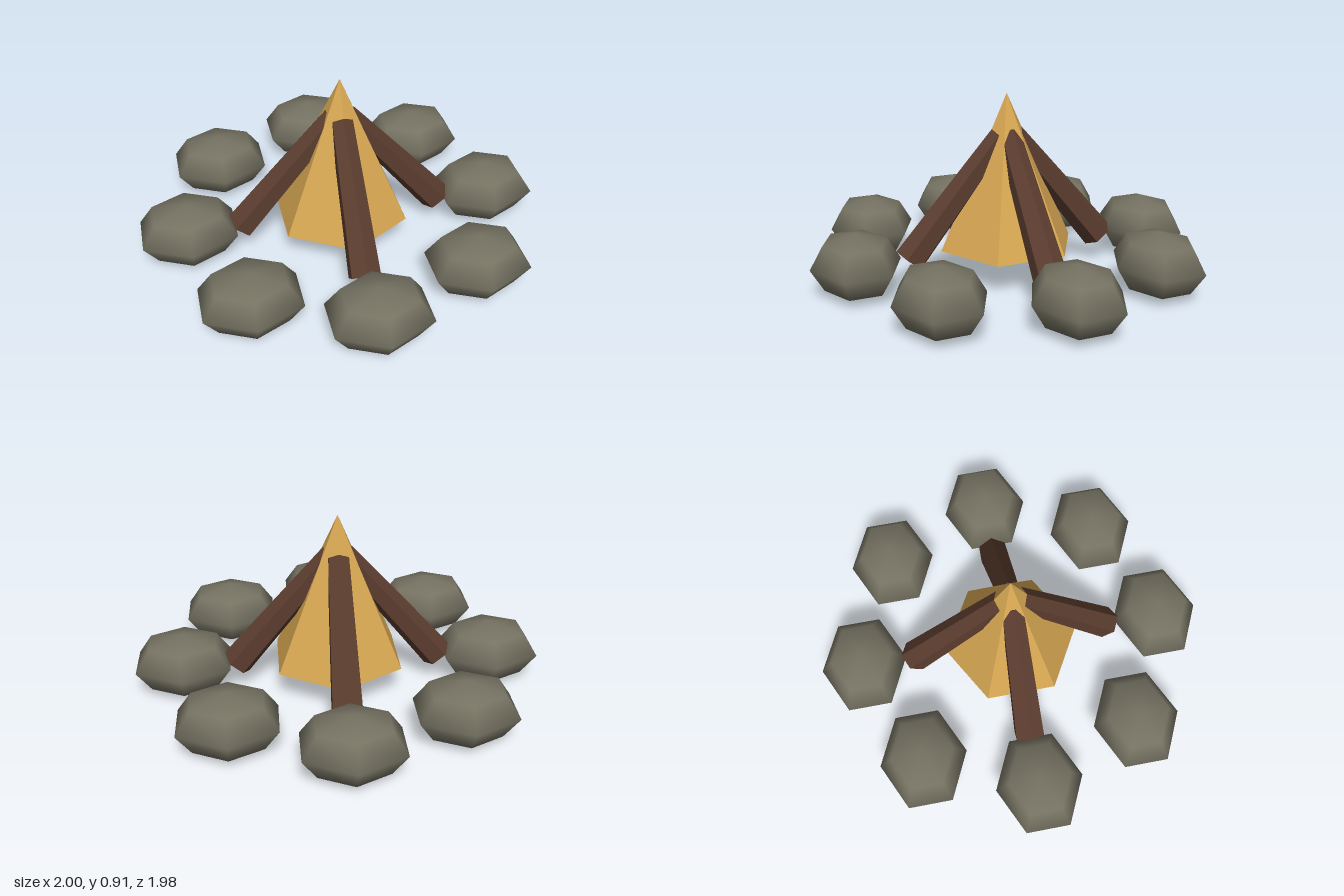
import * as THREE from 'three';

const stoneMat = new THREE.MeshStandardMaterial({ color: 0x757262 });
stoneMat.name = 'grey stone';
const woodMat = new THREE.MeshStandardMaterial({ color: 0x5a3c2e, flatShading: true });
woodMat.name = 'dark wood';
const flameMat = new THREE.MeshStandardMaterial({ color: 0xd6a652, flatShading: true });
flameMat.name = 'golden flame';

export function createModel() {
  const group = new THREE.Group();
  group.name = 'campfire';

  const add = (name, geometry, material) => {
    const mesh = new THREE.Mesh(geometry, material);
    mesh.name = name;
    group.add(mesh);
    return mesh;
  };

  // Six-sided flame
  const flame = add('flame', new THREE.ConeGeometry(0.347, 0.757, 6), flameMat);
  flame.position.y = 0.158 + 0.757 / 2;

  // Ring of eight smooth, squashed stones, all facing the same way
  const stoneGeo = new THREE.SphereGeometry(1, 6, 4);
  stoneGeo.rotateY(Math.PI / 6);
  stoneGeo.scale(0.266, 0.155, 0.218);
  for (let i = 0; i < 8; i++) {
    const a = (i * Math.PI) / 4;
    add('stone' + (i + 1), stoneGeo, stoneMat)
      .position.set(0.77 * Math.sin(a), 0.157, 0.77 * Math.cos(a));
  }

  // Four tapered logs leaning on the flame, one ridge facing up
  const top = new THREE.Vector2(0.028, 0.715);
  const foot = new THREE.Vector2(0.51, 0.138);
  const logGeo = new THREE.CylinderGeometry(0.057, 0.081, top.distanceTo(foot), 6);
  logGeo.rotateX(-Math.atan2(foot.x - top.x, top.y - foot.y));
  logGeo.translate(0, (top.y + foot.y) / 2, (top.x + foot.x) / 2);
  for (let i = 0; i < 4; i++) {
    add('log' + (i + 1), logGeo, woodMat).rotation.y = (i * Math.PI) / 2;
  }

  return group;
}
